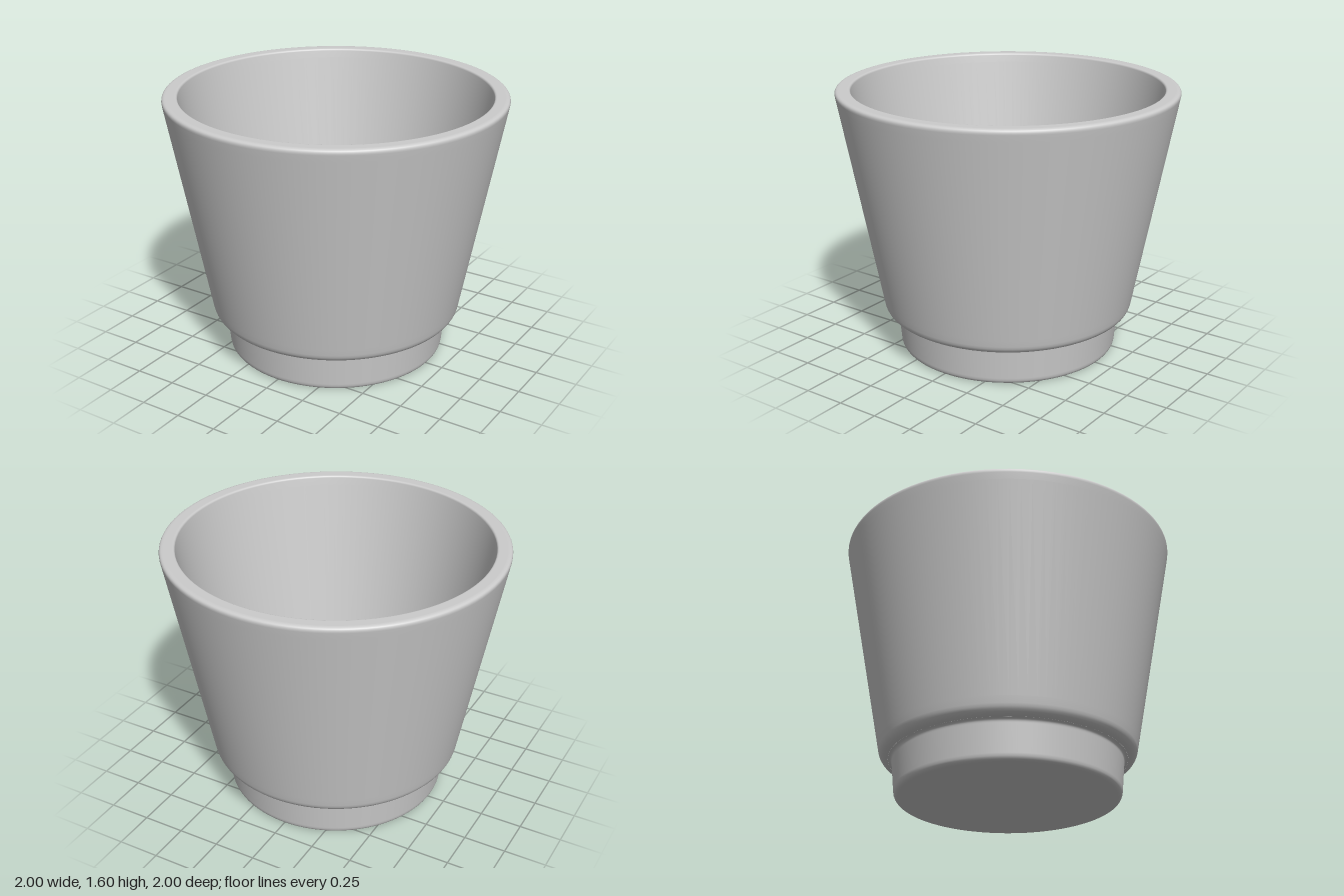
import * as THREE from 'three';

// Profile corners from bottom centre, up the outside, over the rim, down to the inner floor: [radius, y, fillet]
const CORNERS = [
  [0, 0, 0],
  [0.655, 0, 0.035],      // foot bottom edge
  [0.676, 0.23, 0.02],    // foot meets body
  [0.745, 0.23, 0.055],   // body lower edge
  [1.003, 1.6, 0.03],     // rim outer edge
  [0.91, 1.6, 0.012],     // rim inner edge
  [0.65, 0.2, 0.06],      // inner floor edge
  [0, 0.2, 0],
];

// Rounds each corner of the profile with a short curve
function roundedProfile(corners, steps = 6) {
  const p = corners.map(([r, y]) => new THREE.Vector2(r, y));
  const out = [p[0]];
  for (let i = 1; i < p.length - 1; i++) {
    const toward = (q) => p[i].clone().add(q.clone().sub(p[i]).setLength(corners[i][2]));
    const a = toward(p[i - 1]), b = toward(p[i + 1]);
    // Support points keep the long faces shaded straight
    const before = a.clone().lerp(p[i - 1], 0.03), after = b.clone().lerp(p[i + 1], 0.03);
    out.push(before, ...new THREE.QuadraticBezierCurve(a, p[i], b).getPoints(steps), after);
  }
  out.push(p[p.length - 1]);
  return out;
}

export function createModel() {
  const group = new THREE.Group();
  group.name = 'cup';

  const ceramic = new THREE.MeshStandardMaterial({ color: 0xcccccc });
  ceramic.name = 'lightGrey';

  // Tapered cup with stepped foot, turned as one piece
  const cup = new THREE.Mesh(new THREE.LatheGeometry(roundedProfile(CORNERS), 96), ceramic);
  cup.name = 'cupBody';
  group.add(cup);

  return group;
}
